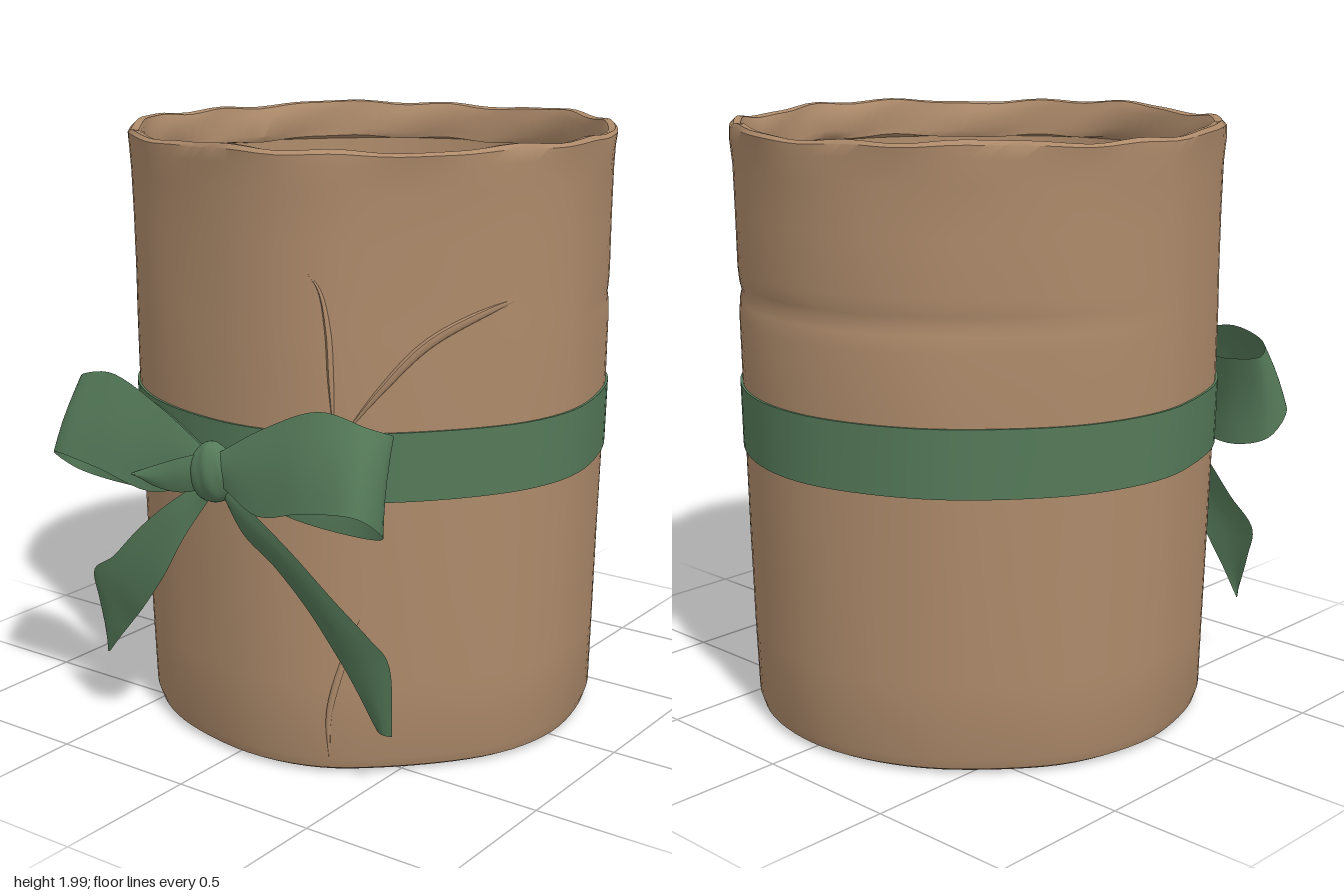
import * as THREE from 'three';
import { mergeVertices, toCreasedNormals } from 'three/addons/utils/BufferGeometryUtils.js';

const CZ = -0.045; // centre of the pot in z

// Uneven rim outline (x, z), turned into a radius for every angle
const OUTLINE = [
  [0.075, 0.775], [0.33, 0.715], [0.52, 0.575], [0.695, 0.37], [0.79, 0.19], [0.825, -0.01],
  [0.79, -0.22], [0.68, -0.475], [0.47, -0.715], [0.21, -0.85], [-0.1, -0.875], [-0.44, -0.74],
  [-0.695, -0.475], [-0.79, -0.28], [-0.828, -0.05], [-0.8, 0.12], [-0.695, 0.375],
  [-0.53, 0.57], [-0.3, 0.705],
];
const STEPS = 360;
const radii = new Array(STEPS).fill(0.82);
new THREE.CatmullRomCurve3(OUTLINE.map(([x, z]) => new THREE.Vector3(x, 0, z - CZ)), true)
  .getPoints(4000)
  .forEach((p) => {
    const a = Math.atan2(p.x, p.z) / (2 * Math.PI);
    radii[Math.floor((a + 1) * STEPS) % STEPS] = Math.hypot(p.x, p.z);
  });

function radiusAt(angle) {
  const t = ((angle / (2 * Math.PI)) % 1 + 1) % 1 * STEPS;
  const i = Math.floor(t) % STEPS;
  return THREE.MathUtils.lerp(radii[i], radii[(i + 1) % STEPS], t - Math.floor(t));
}

// Point on the paper wall: slight taper, flared lip, shallow dent at the back
function wallPoint(angle, y, inset = 0) {
  const taper = 0.947 + 0.055 * Math.pow(Math.max(y, 0) / 2, 0.8)
    - 0.008 * THREE.MathUtils.smoothstep(y, 1.2, 1.7)
    + 0.008 * THREE.MathUtils.smoothstep(y, 1.85, 1.97);
  const back = Math.max(0, -Math.cos(angle));
  const dent = 0.014 * back * Math.exp(-(((y - 1.44) / 0.03) ** 2));
  const soft = 0.003 * Math.sin(angle * 7 + y * 2) * Math.sin(y * 2.4 + angle);
  const r = radiusAt(angle) * taper - inset - dent + soft;
  return [Math.sin(angle) * r, y, Math.cos(angle) * r + CZ];
}

// Surface from a grid of points
function grid(rows, cols, pointAt, crease) {
  const pos = [], index = [];
  for (let i = 0; i <= rows; i++) for (let j = 0; j <= cols; j++) pos.push(...pointAt(i, j));
  for (let i = 0; i < rows; i++) {
    for (let j = 0; j < cols; j++) {
      const a = i * (cols + 1) + j, d = a + cols + 1;
      index.push(a, a + 1, d + 1, a, d + 1, d);
    }
  }
  const geo = new THREE.BufferGeometry();
  geo.setAttribute('position', new THREE.Float32BufferAttribute(pos, 3));
  geo.setIndex(index);
  return toCreasedNormals(mergeVertices(geo), crease);
}

// Ring swept round the pot from profile rows [y, inset, wobble]
function ring(profile, crease = 0.7) {
  const cols = 96;
  return grid(profile.length - 1, cols, (i, j) => {
    const a = ((j % cols) / cols) * 2 * Math.PI;
    const [y, inset, wobble = 0] = profile[i];
    if (inset === 'centre') return [0, y, CZ];
    const wave = Math.sin(a * 5 + 1) + 0.7 * Math.sin(a * 11 + 2) + 0.5 * Math.sin(a * 17);
    return wallPoint(a, y + wobble * wave * 0.006, inset + wobble * 0.005 * Math.sin(a * 9 + y * 40));
  }, crease);
}

// Ribbon strip between two smooth edges, gently bulged across its width
function ribbon(edgeA, edgeB, bulge = 0.012) {
  const [ca, cb] = [edgeA, edgeB].map((e) => new THREE.CatmullRomCurve3(e.map((p) => new THREE.Vector3(...p))));
  const rows = 40, cols = 5;
  return grid(rows, cols, (i, j) => {
    const p = ca.getPoint(i / rows).lerp(cb.getPoint(i / rows), j / cols);
    return [p.x, p.y, p.z + bulge * Math.sin((j / cols) * Math.PI)];
  }, 1.2);
}

// Tapered raised fold lying on the wall, through (angle, y) points
function foldGeometry(points, size) {
  const curve = new THREE.CatmullRomCurve3(points.map(([a, y]) => new THREE.Vector3(...wallPoint(a, y, 0.002))));
  const rows = 28, geo = new THREE.TubeGeometry(curve, rows, size, 6);
  const pos = geo.attributes.position, v = new THREE.Vector3();
  for (let k = 0; k < pos.count; k++) {
    const t = Math.floor(k / 7) / rows;
    const c = curve.getPointAt(t);
    v.fromBufferAttribute(pos, k).sub(c).multiplyScalar(0.15 + 0.85 * Math.sin(t * Math.PI)).add(c);
    pos.setXYZ(k, v.x, v.y, v.z);
  }
  geo.computeVertexNormals();
  return geo;
}

export function createModel() {
  const paper = new THREE.MeshStandardMaterial({ color: 0xae8b6b });
  paper.name = 'kraft paper';
  const green = new THREE.MeshStandardMaterial({ color: 0x557a59, side: THREE.DoubleSide });
  green.name = 'green ribbon';

  const model = new THREE.Group();
  model.name = 'wrappedPot';
  const add = (name, geometry, material, parent = model) => {
    const mesh = new THREE.Mesh(geometry, material);
    mesh.name = name;
    parent.add(mesh);
    return mesh;
  };

  // Paper pot: base, outer wall, rolled lip, inner wall and floor
  add('paperPot', ring([
    [0, 'centre'], [0.0, 0.035], [0.015, 0.01], [0.05, 0], [0.3, 0], [0.6, 0], [0.9, 0], [1.15, 0],
    [1.36, 0], [1.41, 0], [1.44, 0], [1.47, 0], [1.52, 0], [1.7, 0], [1.85, 0], [1.93, 0, 0.4],
    [1.97, 0, 0.7], [1.982, 0.012, 1], [1.978, 0.035, 1.2], [1.95, 0.046, 1.4], [1.88, 0.046, 1.4],
    [1.855, 0.04, 1], [1.85, 0.022], [1.7, 0.022], [1.5, 0.022], [1.46, 0.022], [1.43, 0.022], [1.38, 0.022],
    [1, 0.022], [0.5, 0.022], [0.04, 0.022], [0.035, 'centre'],
  ]), paper);

  // Paper folds
  add('upperFold', foldGeometry([[0.37, 1.63], [0.42, 1.57], [0.45, 1.45], [0.46, 1.3], [0.47, 1.12]], 0.011), paper);
  add('diagonalFold', foldGeometry([[0.5, 1.12], [0.64, 1.26], [0.82, 1.4], [1.05, 1.49], [1.3, 1.54]], 0.017), paper);
  add('lowerFold', foldGeometry([[0.44, 0.05], [0.44, 0.2], [0.49, 0.36], [0.58, 0.55]], 0.013), paper);

  // Ribbon band
  add('ribbonBand', ring([[0.912, 0.008], [0.912, -0.008], [1.02, -0.008], [1.132, -0.008], [1.132, 0.008]]), green);

  // Bow loops: from the knot out along the back strand and home along the front one
  const bow = new THREE.Group();
  bow.name = 'bow';
  model.add(bow);
  const loopTop = [[0.03, 1.03, 0.78], [0.25, 1.13, 0.735], [0.48, 1.14, 0.655], [0.59, 1.16, 0.68],
    [0.55, 1.195, 0.755], [0.4, 1.228, 0.785], [0.2, 1.15, 0.8], [0.03, 1.05, 0.81]];
  const loopBottom = [[0.03, 0.94, 0.78], [0.25, 0.86, 0.745], [0.48, 0.825, 0.69], [0.595, 0.86, 0.74],
    [0.585, 0.95, 0.86], [0.4, 0.935, 0.875], [0.2, 0.885, 0.85], [0.03, 0.95, 0.82]];
  for (const [name, sx] of [['leftLoop', 1], ['rightLoop', -1.1]]) {
    const place = (edge) => edge.map(([x, y, z]) => [x * sx, y, z]);
    add(name, ribbon(place(loopTop), place(loopBottom)), green, bow);
  }

  // Bow tails
  add('leftTail', ribbon(
    [[0.03, 0.95, 0.8], [0.17, 0.885, 0.83], [0.32, 0.79, 0.835], [0.46, 0.65, 0.8], [0.56, 0.54, 0.76], [0.605, 0.47, 0.73], [0.595, 0.205, 0.69]],
    [[0.02, 0.9, 0.79], [0.1, 0.79, 0.79], [0.22, 0.71, 0.79], [0.33, 0.59, 0.77], [0.41, 0.46, 0.74], [0.46, 0.37, 0.72], [0.53, 0.205, 0.68]],
  ), green, bow);
  add('rightTail', ribbon(
    [[-0.02, 0.96, 0.8], [-0.18, 0.85, 0.81], [-0.33, 0.73, 0.8], [-0.47, 0.6, 0.78], [-0.6, 0.51, 0.74], [-0.59, 0.41, 0.73], [-0.545, 0.24, 0.73]],
    [[-0.02, 0.9, 0.79], [-0.11, 0.75, 0.83], [-0.18, 0.62, 0.845], [-0.29, 0.48, 0.83], [-0.38, 0.39, 0.8], [-0.45, 0.32, 0.78], [-0.53, 0.24, 0.75]],
  ), green, bow);

  // Pleated knot and the pinched folds beside it
  const knotGeo = new THREE.SphereGeometry(1, 28, 18);
  const pos = knotGeo.attributes.position;
  for (let k = 0; k < pos.count; k++) {
    const [x, y, z] = [pos.getX(k), pos.getY(k), pos.getZ(k)];
    const pleat = 1 + 0.07 * Math.sin(x * 9 + y * 2);
    pos.setXYZ(k, x * (0.085 - 0.012 * y), y * 0.098, z * 0.055 * pleat);
  }
  knotGeo.computeVertexNormals();
  add('knot', knotGeo, green, bow).position.set(-0.015, 0.975, 0.795);
  add('knotFold', ribbon(
    [[-0.03, 1.04, 0.82], [-0.12, 1.01, 0.845], [-0.22, 0.97, 0.86], [-0.29, 0.94, 0.865]],
    [[-0.03, 0.92, 0.82], [-0.12, 0.9, 0.84], [-0.2, 0.91, 0.86], [-0.28, 0.935, 0.865]],
  ), green, bow);

  return model;
}
